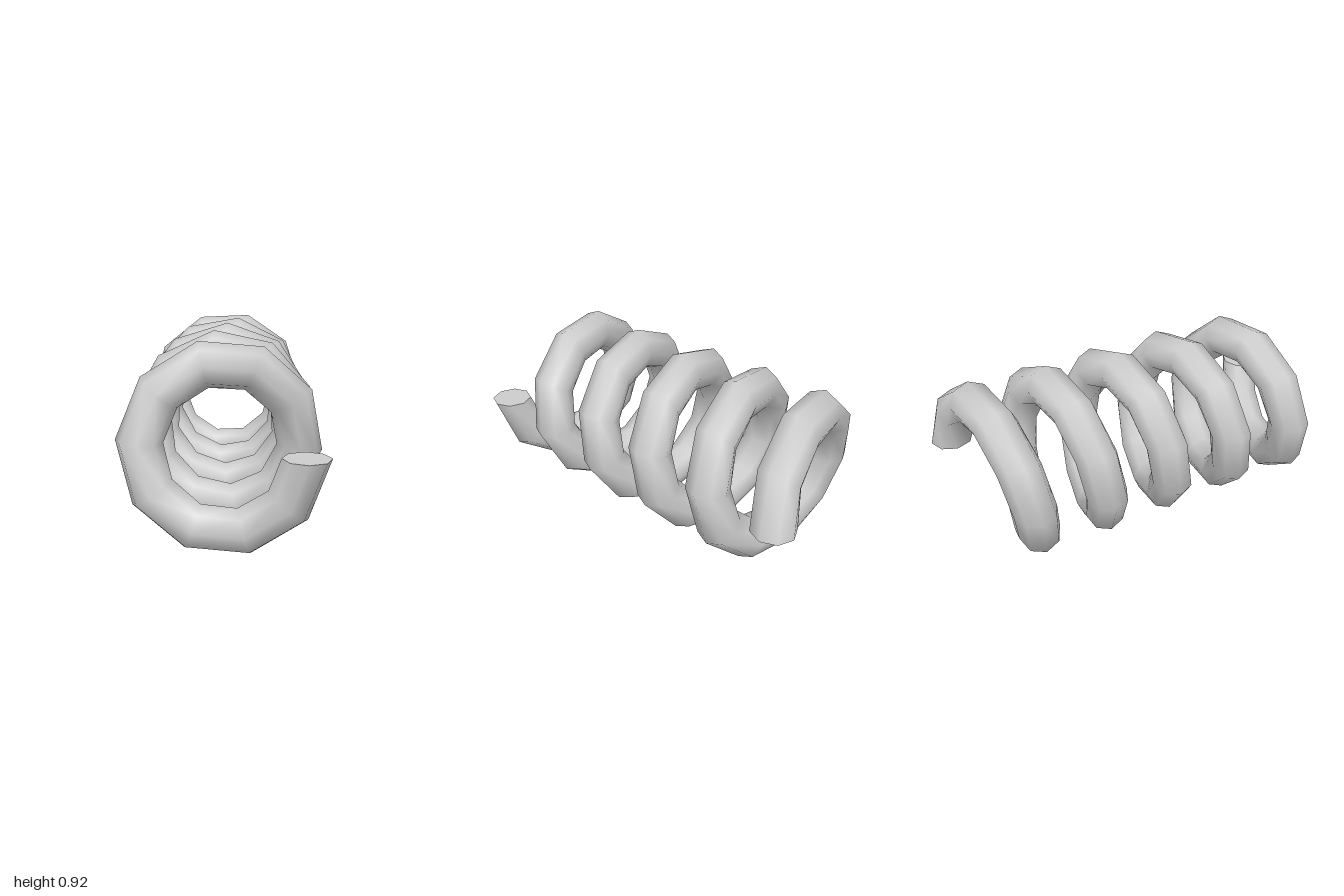
import * as THREE from 'three';

const COIL_R = 0.357, WIRE_R = 0.105, CENTER_Y = 0.463, END_Z = 0.895;
const TURNS = 5, STEPS = 49, SIDES = 8;

// Octagonal wire swept along a helix; every section lies in the radial/axial plane
function coilGeometry() {
  const positions = [], index = [];
  for (let i = 0; i <= STEPS; i++) {
    const t = i / STEPS;
    const a = -t * TURNS * Math.PI * 2;
    for (let j = 0; j < SIDES; j++) {
      const b = (j / SIDES) * Math.PI * 2;
      const rad = COIL_R + WIRE_R * Math.cos(b);
      positions.push(
        rad * Math.cos(a),
        CENTER_Y + rad * Math.sin(a),
        END_Z * (1 - 2 * t) + WIRE_R * Math.sin(b)
      );
    }
  }
  for (let i = 0; i < STEPS; i++) {
    for (let j = 0; j < SIDES; j++) {
      const k = (j + 1) % SIDES;
      const a = i * SIDES + j, b = i * SIDES + k;
      const c = a + SIDES, d = b + SIDES;
      index.push(a, b, c, b, d, c);
    }
  }
  const geo = new THREE.BufferGeometry();
  geo.setAttribute('position', new THREE.Float32BufferAttribute(positions, 3));
  geo.setIndex(index);
  geo.computeVertexNormals();
  return geo;
}

export function createModel() {
  const group = new THREE.Group();
  group.name = 'coilSpring';
  const material = new THREE.MeshStandardMaterial({ color: 0xcccccc });

  const coil = new THREE.Mesh(coilGeometry(), material);
  coil.name = 'coil';
  group.add(coil);

  // Flat cut ends: the front one faces up, the back one faces down
  for (const [name, side] of [['frontEndCap', 1], ['backEndCap', -1]]) {
    const cap = new THREE.Mesh(new THREE.CircleGeometry(WIRE_R, SIDES), material);
    cap.name = name;
    cap.rotation.x = -side * Math.PI / 2;
    cap.position.set(COIL_R, CENTER_Y, side * END_Z);
    group.add(cap);
  }
  return group;
}
